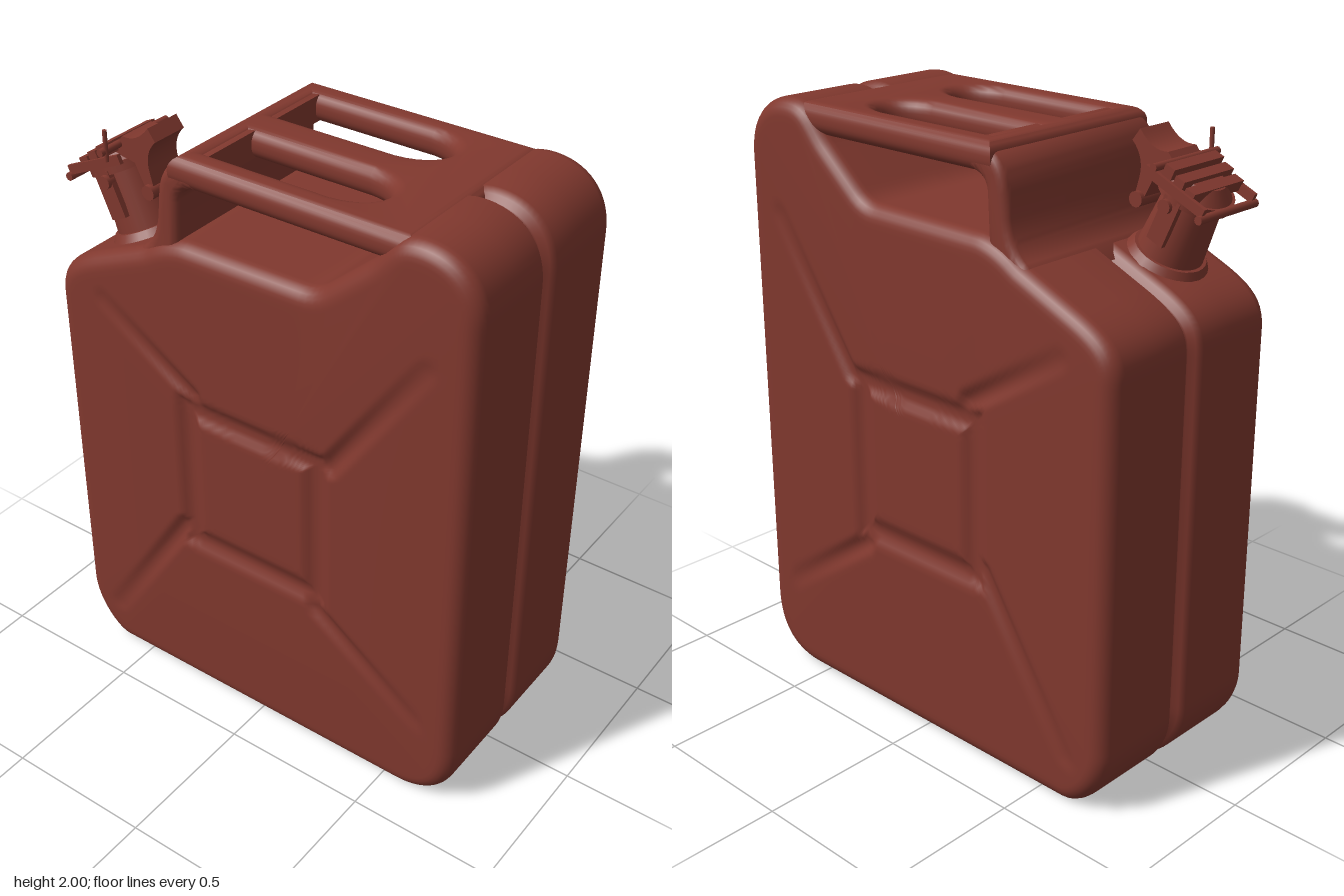
import * as THREE from 'three';
import { toCreasedNormals } from 'three/addons/utils/BufferGeometryUtils.js';

const smooth = THREE.MathUtils.smoothstep;

// Side outline of the can, counter-clockwise
function canOutline() {
  const s = new THREE.Shape();
  s.moveTo(-0.6, 0);
  s.lineTo(0.55, 0);
  s.bezierCurveTo(0.69, 0, 0.765, 0.09, 0.765, 0.23);
  s.lineTo(0.765, 1.8);
  s.bezierCurveTo(0.765, 1.92, 0.69, 2, 0.57, 2);
  s.bezierCurveTo(0.47, 2, 0.46, 1.94, 0.4, 1.885);
  s.lineTo(0.26, 1.765);
  s.quadraticCurveTo(0.225, 1.735, 0.18, 1.735);
  s.lineTo(-0.25, 1.73);
  s.quadraticCurveTo(-0.33, 1.72, -0.4, 1.67);
  s.lineTo(-0.62, 1.575);
  s.bezierCurveTo(-0.72, 1.53, -0.765, 1.49, -0.765, 1.4);
  s.lineTo(-0.765, 0.22);
  s.bezierCurveTo(-0.765, 0.11, -0.67, 0, -0.6, 0);
  return s.getSpacedPoints(320).slice(0, -1);
}

// Pressed grooves: four tapering arms and a square ring in the middle
const arms = [
  [-0.22, 1.22, -0.57, 1.44], [0.29, 1.17, 0.61, 1.63],
  [-0.28, 0.69, -0.62, 0.17], [0.24, 0.6, 0.62, 0.33],
];
function groove(x, y) {
  let depth = 0;
  for (const [x0, y0, x1, y1] of arms) {
    const dx = x1 - x0, dy = y1 - y0;
    const t = THREE.MathUtils.clamp(((x - x0) * dx + (y - y0) * dy) / (dx * dx + dy * dy), 0, 1);
    const d = Math.hypot(x - x0 - t * dx, y - y0 - t * dy);
    depth = Math.max(depth, (1 - smooth(d, 0.005, 0.045)) * (1 - 0.7 * t));
  }
  const edge = Math.max(Math.abs(x) - 0.245, Math.abs(y - 0.91) - 0.255);
  depth = Math.max(depth, 1 - smooth(Math.abs(edge), 0.015, 0.05));
  return 0.018 * depth;
}

// One pressed half shell, from the seam groove round the edge to the face centre
function halfShell(side) {
  const pts = canOutline(), n = pts.length, R = 0.055, Z = 0.362, faceRings = 46;
  const rings = [[0.035, 0, 1], [0.035, 0.012, 1], [0.014, 0.022, 1], [0, 0.04, 1], [0, 0.17, 1]];
  for (let i = 0; i <= 6; i++) {
    const a = (i / 6) * Math.PI / 2;
    rings.push([R * (1 - Math.cos(a)), Z - R + R * Math.sin(a), 1]);
  }
  for (let i = 1; i <= faceRings; i++) rings.push([R, Z, 1 - i / faceRings]);

  const pos = [], idx = [];
  rings.forEach(([inset, z, s]) => pts.forEach((p, j) => {
    const a = pts[(j + n - 1) % n], b = pts[(j + 1) % n];
    const len = Math.hypot(b.x - a.x, b.y - a.y);
    // the seam runs out underneath the handles
    const seam = z < 0.1 && p.y > 1.68 && p.x < 0.48 ? 0 : 1;
    const x = (p.x - inset * seam * (b.y - a.y) / len) * s;
    const y = 0.95 + (p.y + inset * seam * (b.x - a.x) / len - 0.95) * s;
    const relief = s < 1 ? 0.01 * (1 - s * s) - groove(x, y) : 0;
    pos.push(x, y, side * (z + relief));
  }));
  for (let i = 0; i < rings.length - 1; i++) for (let j = 0; j < n; j++) {
    const k = (j + 1) % n;
    const a = i * n + j, b = i * n + k, c = a + n, d = b + n;
    if (side > 0) idx.push(a, b, d, a, d, c);
    else idx.push(a, d, b, a, c, d);
  }
  const g = new THREE.BufferGeometry();
  g.setAttribute('position', new THREE.Float32BufferAttribute(pos, 3));
  g.setIndex(idx);
  g.computeVertexNormals();
  return g;
}

export function createModel() {
  const model = new THREE.Group();
  const red = new THREE.MeshStandardMaterial({ color: 0x80382e });
  red.name = 'oxide red';
  const add = (name, geo, parent = model, x = 0, y = 0, z = 0) => {
    const m = new THREE.Mesh(geo, red);
    m.name = name;
    m.position.set(x, y, z);
    parent.add(m);
    return m;
  };

  add('frontShell', halfShell(1));
  add('backShell', halfShell(-1));

  // Three handle bars: a plate with two round-ended slots and fully rounded edges
  const r = 0.042;
  const plate = new THREE.Shape();
  plate.moveTo(-0.25, -0.3);
  plate.lineTo(0.5, -0.3);
  plate.lineTo(0.5, 0.3);
  plate.lineTo(-0.25, 0.3);
  plate.closePath();
  for (const c of [-0.158, 0.158]) {
    const w = 0.088 + r - 0.002, hole = new THREE.Path();
    hole.moveTo(-0.249 - 0.0, c - w);
    hole.lineTo(-0.249, c + w);
    hole.lineTo(0.22, c + w);
    hole.bezierCurveTo(0.43, c + w * 0.85, 0.43, c - w * 0.85, 0.22, c - w);
    hole.closePath();
    plate.holes.push(hole);
  }
  const bars = new THREE.ExtrudeGeometry(plate, {
    depth: 0.012, bevelEnabled: true, bevelSize: r, bevelThickness: r, bevelSegments: 6, curveSegments: 16,
  });
  bars.rotateX(-Math.PI / 2);
  add('handleBars', toCreasedNormals(bars, 0.7), model, 0, 1.942, 0);

  // Shared handle foot that flares into the shoulder
  const foot = new THREE.Shape();
  foot.moveTo(-0.45, 1.62);
  foot.lineTo(-0.42, 1.665);
  foot.quadraticCurveTo(-0.365, 1.7, -0.353, 1.79);
  foot.lineTo(-0.345, 1.86);
  foot.bezierCurveTo(-0.335, 1.95, -0.29, 1.985, -0.2, 1.99);
  foot.lineTo(-0.2, 1.905);
  foot.quadraticCurveTo(-0.262, 1.9, -0.265, 1.85);
  foot.lineTo(-0.275, 1.65);
  foot.closePath();
  const footGeo = new THREE.ExtrudeGeometry(foot, {
    depth: 0.62, bevelEnabled: true, bevelSize: 0.03, bevelOffset: -0.03, bevelThickness: 0.03,
    bevelSegments: 5, curveSegments: 12,
  });
  add('handleFoot', toCreasedNormals(footGeo, 0.7), model, 0, 0, -0.31);

  // Spout, tilted square to the shoulder
  const spout = new THREE.Group();
  spout.name = 'spout';
  spout.position.set(-0.53, 1.62, 0.165);
  spout.rotation.z = 0.42;
  model.add(spout);
  const cyl = (r1, r2, h, seg = 28) => new THREE.CylinderGeometry(r1, r2, h, seg);
  const box = (x, y, z) => new THREE.BoxGeometry(x, y, z);
  const rod = (rad, len) => cyl(rad, rad, len, 12).rotateX(Math.PI / 2);

  add('neck', cyl(0.088, 0.105, 0.24), spout, 0, 0.09, 0);
  add('neckFlange', cyl(0.112, 0.128, 0.025), spout, 0, 0.005, 0);
  add('capRim', cyl(0.112, 0.112, 0.03), spout, 0, 0.222, 0);
  add('capDome', cyl(0.07, 0.105, 0.04), spout, 0, 0.255, 0);

  // Cap bridge strips, hinge rod and locking rod
  for (const u of [-0.045, 0.0, 0.045]) add('capStrip', box(0.035, 0.035, 0.23), spout, u, 0.272 + u * 0.25, 0);
  add('hingeRod', rod(0.013, 0.27), spout, -0.115, 0.232, 0);
  add('lockingRod', rod(0.012, 0.3), spout, 0.075, 0.285, 0);

  // Side arms and neck clips on both sides
  for (const s of [-1, 1]) {
    add('capArm', box(0.23, 0.03, 0.014), spout, 0, 0.25, s * 0.118);
    add('neckClip', box(0.06, 0.15, 0.02), spout, 0, 0.145, s * 0.1);
    add('clipPivot', rod(0.022, 0.03), spout, 0.01, 0.19, s * 0.108);
  }

  // Locking lever with a hooked tip
  const lever = new THREE.Shape();
  lever.moveTo(0.03, 0.27);
  lever.lineTo(0.1, 0.305);
  lever.quadraticCurveTo(0.15, 0.275, 0.215, 0.31);
  lever.lineTo(0.225, 0.265);
  lever.quadraticCurveTo(0.165, 0.245, 0.155, 0.18);
  lever.lineTo(0.145, 0.115);
  lever.lineTo(0.115, 0.115);
  lever.lineTo(0.11, 0.22);
  lever.closePath();
  const leverGeo = new THREE.ExtrudeGeometry(lever, { depth: 0.13, bevelEnabled: false, curveSegments: 8 });
  add('lever', toCreasedNormals(leverGeo, 0.6), spout, 0, 0, -0.065);
  add('leverPivot', rod(0.024, 0.16), spout, 0.13, 0.125, 0);
  const pin = add('lockingPin', cyl(0.007, 0.007, 0.1, 8), spout, 0.09, 0.3, 0.13);
  pin.rotation.z = -0.42;

  return model;
}
